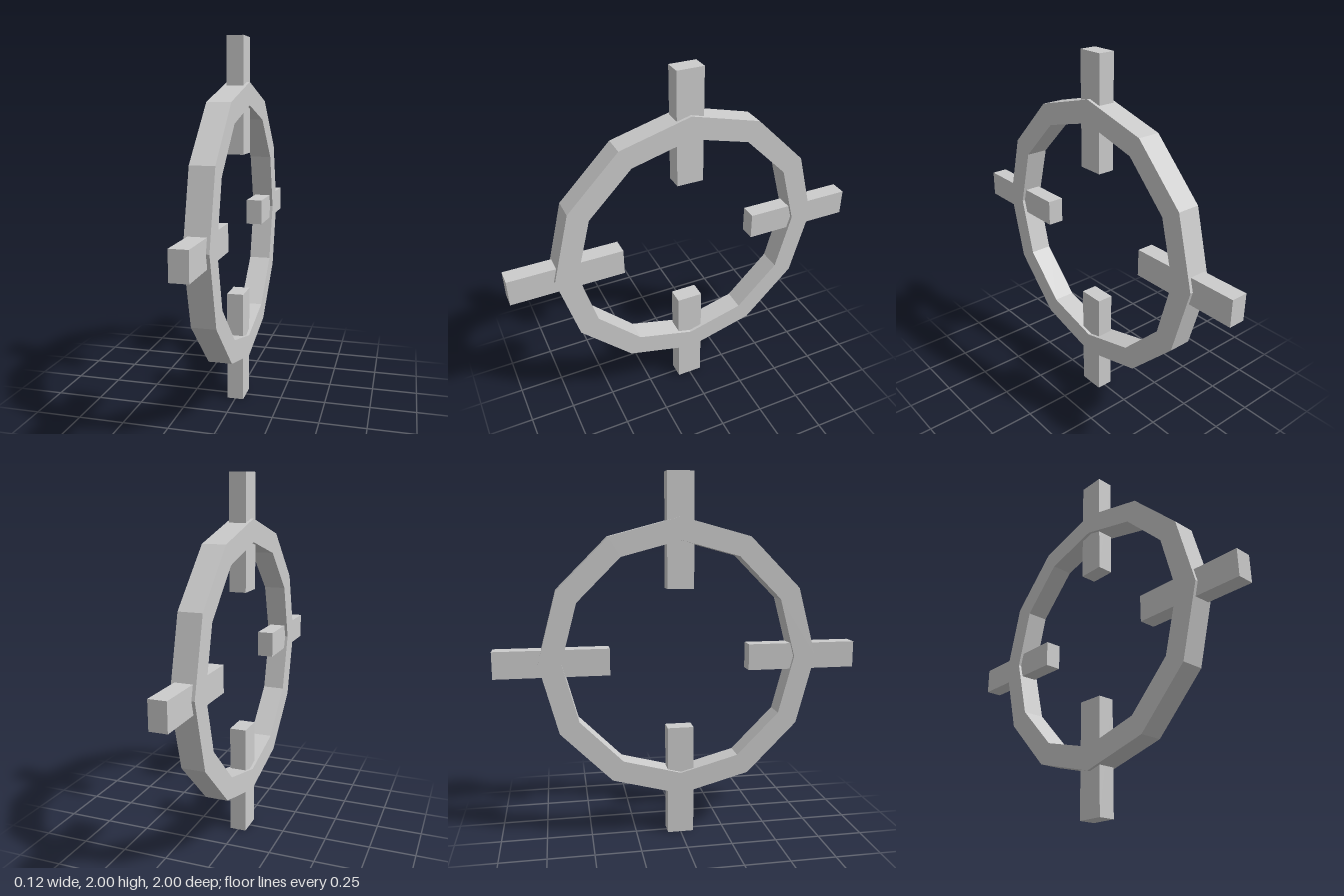
import * as THREE from 'three';

const SIDES = 12, OUTER = 0.765, INNER = 0.643, THICKNESS = 0.125;
const BAR_LENGTH = 0.615, BAR_WIDTH = 0.146, BAR_DEPTH = 0.092;

// Corners of a regular polygon, counter-clockwise
function polygon(radius) {
  return Array.from({ length: SIDES }, (_, i) => {
    const a = (i / SIDES) * Math.PI * 2;
    return new THREE.Vector2(Math.cos(a) * radius, Math.sin(a) * radius);
  });
}

export function createModel() {
  const model = new THREE.Group();
  model.name = 'crosshairRing';
  const material = new THREE.MeshStandardMaterial({ color: 0xcccccc, flatShading: true });

  // Twelve-sided flat ring standing in the YZ plane
  const shape = new THREE.Shape(polygon(OUTER));
  shape.holes.push(new THREE.Path(polygon(INNER)));
  const ringGeometry = new THREE.ExtrudeGeometry(shape, { depth: THICKNESS, bevelEnabled: false });
  ringGeometry.translate(0, 0, -THICKNESS / 2).rotateY(Math.PI / 2);
  const ring = new THREE.Mesh(ringGeometry, material);
  ring.name = 'ring';
  ring.position.y = 1;
  model.add(ring);

  // Four radial bars passing through the ring
  const barGeometry = new THREE.BoxGeometry(BAR_DEPTH, BAR_LENGTH, BAR_WIDTH);
  barGeometry.translate(0, 1 - BAR_LENGTH / 2, 0);
  ['topBar', 'frontBar', 'bottomBar', 'backBar'].forEach((name, i) => {
    const bar = new THREE.Mesh(barGeometry, material);
    bar.name = name;
    bar.position.y = 1;
    bar.rotation.x = (i * Math.PI) / 2;
    model.add(bar);
  });

  return model;
}
